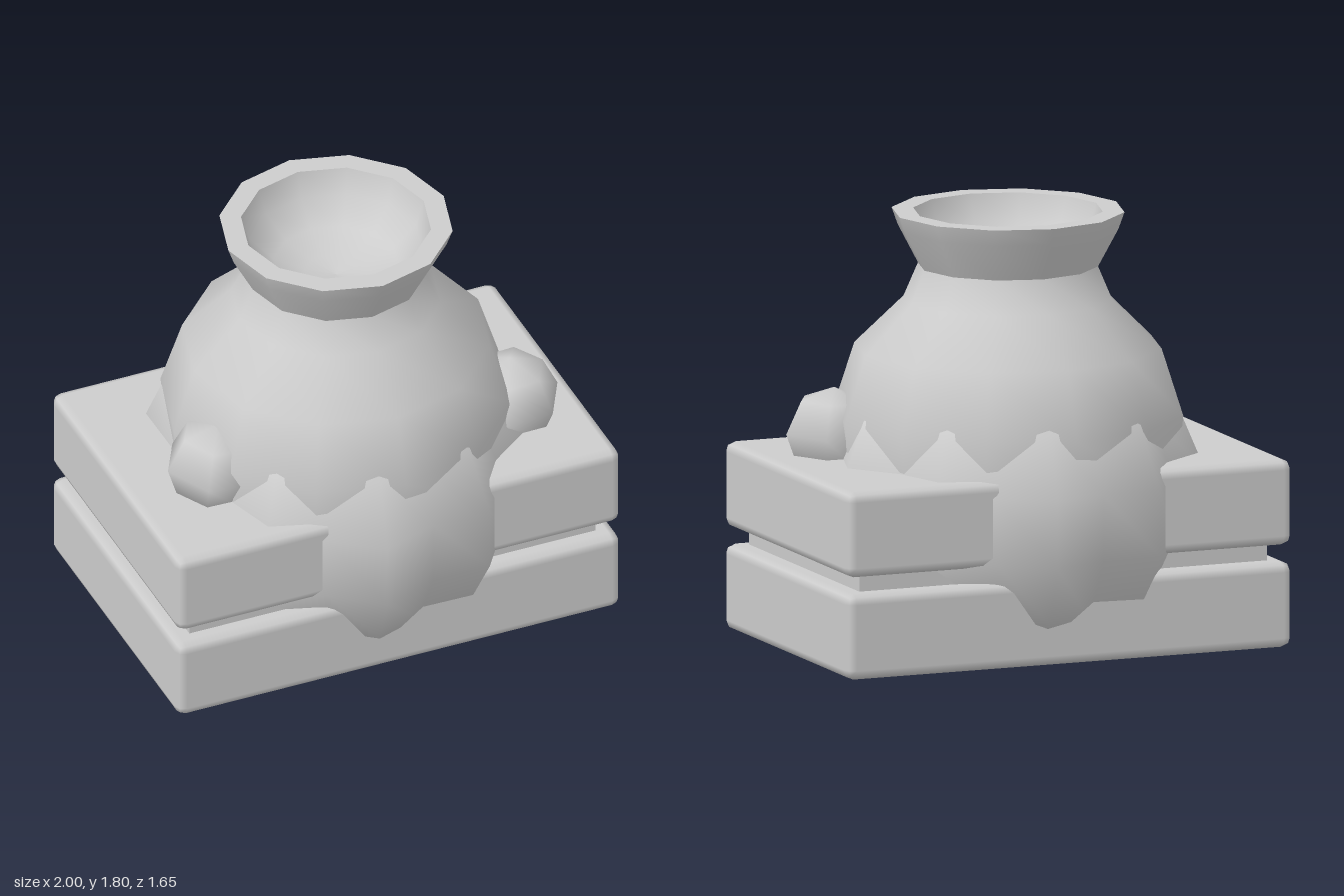
import * as THREE from 'three';
import { mergeVertices } from 'three/addons/utils/BufferGeometryUtils.js';
import { RoundedBoxGeometry } from 'three/addons/geometries/RoundedBoxGeometry.js';

const stone = new THREE.MeshStandardMaterial({ color: 0xcccccc });
stone.name = 'grey stone';

function add(parent, name, geometry, x = 0, y = 0, z = 0) {
  const mesh = new THREE.Mesh(geometry, stone);
  mesh.name = name;
  mesh.position.set(x, y, z);
  parent.add(mesh);
  return mesh;
}

// Turned surface from [radius, y] pairs, listed so that the front faces outward
function turned(profile, sides = 12, start = 0) {
  return new THREE.LatheGeometry(profile.map(([r, y]) => new THREE.Vector2(r, y)), sides, start);
}

// Bulging collar whose ten pleats run from the bottom to the top
function pleatedCollar() {
  const rings = [[0, 0.06], [0.6, 0.06], [0.85, 0.18], [1, 0.44], [1, 0.72], [0.865, 0.98], [0.6, 1.1], [0, 1.1]];
  const geo = turned(rings, 20, -Math.PI / 20);
  const pos = geo.attributes.position;
  for (let i = 0; i < pos.count; i++) {
    const column = Math.floor(i / rings.length);
    const r = column % 2 ? 0.753 : 0.837;
    pos.setX(i, pos.getX(i) * r * 0.97);
    pos.setZ(i, pos.getZ(i) * r);
  }
  geo.deleteAttribute('uv');
  geo.deleteAttribute('normal');
  const merged = mergeVertices(geo, 1e-4);
  merged.computeVertexNormals();
  return merged;
}

export function createModel() {
  const group = new THREE.Group();
  group.name = 'potInPlinth';

  // Plinth: two chamfered slabs with a recessed core between them
  const slab = new RoundedBoxGeometry(2, 0.36, 1.33, 1, 0.042);
  add(group, 'lowerSlab', slab, 0, 0.18, 0);
  add(group, 'upperSlab', slab, 0, 0.61, 0);
  add(group, 'slabCore', new THREE.BoxGeometry(1.83, 0.2, 1.17), 0, 0.395, 0);

  // Pot: body, flared neck, flat lip and hollow
  const pot = new THREE.Group();
  pot.name = 'pot';
  group.add(pot);
  add(pot, 'potBody', turned([
    [0, -0.004], [0.36, -0.001], [0.56, 0.2], [0.67, 0.45], [0.705, 0.72],
    [0.73, 0.95], [0.64, 1.23], [0.435, 1.43], [0.375, 1.57],
  ]));
  add(pot, 'potNeck', turned([[0.375, 1.57], [0.46, 1.73], [0.485, 1.8]]));
  add(pot, 'potLip', turned([[0.485, 1.8], [0.395, 1.8]]));
  add(pot, 'potHollow', turned([[0.395, 1.8], [0.36, 1.69], [0.26, 1.6], [0.13, 1.555], [0, 1.54]]));

  add(group, 'pleatedCollar', pleatedCollar());

  // Round knobs on both shoulders of the plinth
  const knob = new THREE.SphereGeometry(0.205, 6, 4);
  knob.scale(1, 0.96, 1.06);
  add(group, 'leftKnob', knob, 0.695, 0.87, 0.225).rotation.z = 0.05;
  add(group, 'rightKnob', knob, -0.64, 0.89, 0.2).rotation.z = -0.1;

  return group;
}
